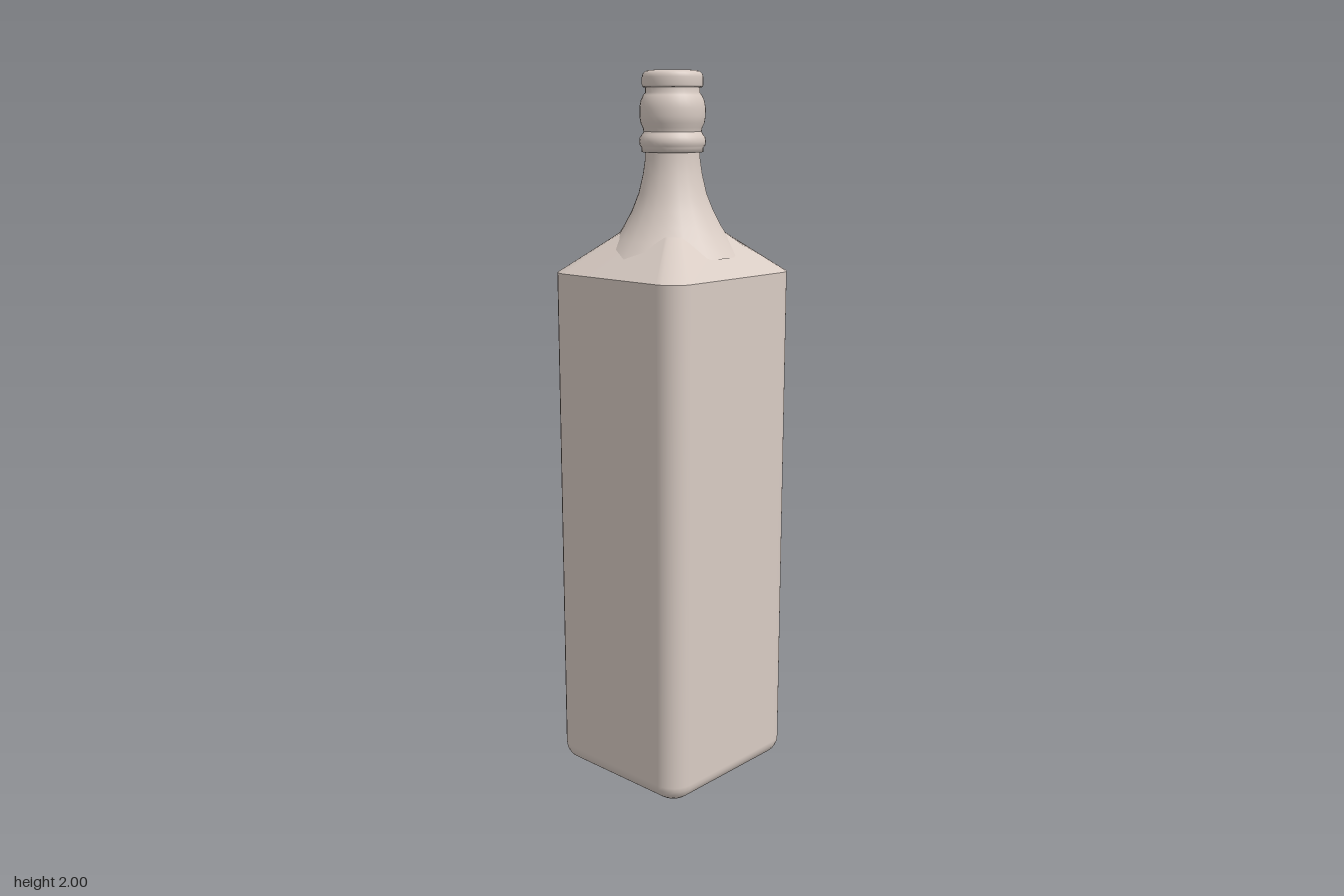
import * as THREE from 'three';

const material = new THREE.MeshStandardMaterial({ color: 0xd8cbc3, side: THREE.DoubleSide });

// Rounded rectangle outline, counter-clockwise seen from above; [x, z] pairs
function outline(hx, hz, r, steps = 6) {
  const pts = [];
  const corners = [[1, 1], [-1, 1], [-1, -1], [1, -1]];
  corners.forEach(([sx, sz], c) => {
    for (let i = 0; i <= steps; i++) {
      const a = (c + i / steps) * Math.PI / 2;
      pts.push([sx * (hx - r) + r * Math.cos(a), sz * (hz - r) + r * Math.sin(a)]);
    }
  });
  return pts;
}

// Skin a stack of equal-length rings, given from the bottom up
function loft(rings, closeBottom) {
  const pos = [], index = [], n = rings[0].pts.length;
  rings.forEach(({ y, pts }) => pts.forEach(([x, z]) => pos.push(x, y, z)));
  for (let k = 0; k < rings.length - 1; k++) {
    for (let i = 0; i < n; i++) {
      const a = k * n + i, b = k * n + (i + 1) % n;
      index.push(a, a + n, b, b, a + n, b + n);
    }
  }
  if (closeBottom) {
    const c = pos.length / 3;
    pos.push(0, rings[0].y, 0);
    for (let i = 0; i < n; i++) index.push(c, i, (i + 1) % n);
  }
  const g = new THREE.BufferGeometry();
  g.setAttribute('position', new THREE.Float32BufferAttribute(pos, 3));
  g.setIndex(index);
  g.computeVertexNormals();
  return g;
}

function lathe(points, segments) {
  return new THREE.LatheGeometry(points.map(([r, y]) => new THREE.Vector2(r, y)), segments);
}

export function createModel() {
  const group = new THREE.Group();
  const add = (name, geometry) => {
    const mesh = new THREE.Mesh(geometry, material);
    mesh.name = name;
    group.add(mesh);
  };
  const HX = 0.24, HZ = 0.25, R = 0.065, SHOULDER = 1.46;

  // Square body with a rounded bottom edge
  const rings = [], bevel = 0.05;
  for (let i = 0; i <= 6; i++) {
    const a = i / 6 * Math.PI / 2, inset = bevel * (1 - Math.sin(a));
    rings.push({ y: bevel * (1 - Math.cos(a)), pts: outline(HX - inset, HZ - inset, R - inset) });
  }
  rings.push({ y: SHOULDER, pts: outline(HX, HZ, R) });
  add('body', loft(rings, true));

  // Sloping shoulder, drawn in from the square to a circle
  const base = outline(HX, HZ, R);
  const rim = base.map(([x, z]) => {
    const s = 0.147 / Math.hypot(x, z);
    return [x * s, z * s];
  });
  add('shoulder', loft([{ y: SHOULDER, pts: base }, { y: 1.567, pts: rim }], false));

  // Flared neck
  add('neck', lathe([
    [0.192, 1.508], [0.157, 1.552], [0.133, 1.59], [0.112, 1.63],
    [0.094, 1.675], [0.082, 1.725], [0.076, 1.765], [0.075, 1.80],
  ], 20));

  // Collar ring under the finish
  add('collar', lathe([
    [0.07, 1.785], [0.084, 1.785], [0.084, 1.797], [0.089, 1.802], [0.091, 1.813],
    [0.089, 1.825], [0.083, 1.832], [0.079, 1.84],
  ], 32));

  // Bulging finish
  add('finish', lathe([
    [0.079, 1.838], [0.081, 1.85], [0.087, 1.862], [0.09, 1.88], [0.09, 1.902],
    [0.087, 1.92], [0.08, 1.935], [0.074, 1.942], [0.074, 1.96],
  ], 32));

  // Stopper with a soft top edge
  add('stopper', lathe([
    [0.07, 1.955], [0.08, 1.956], [0.083, 1.961], [0.083, 1.982], [0.081, 1.991],
    [0.075, 1.997], [0.066, 2], [0, 2],
  ], 32));

  return group;
}
